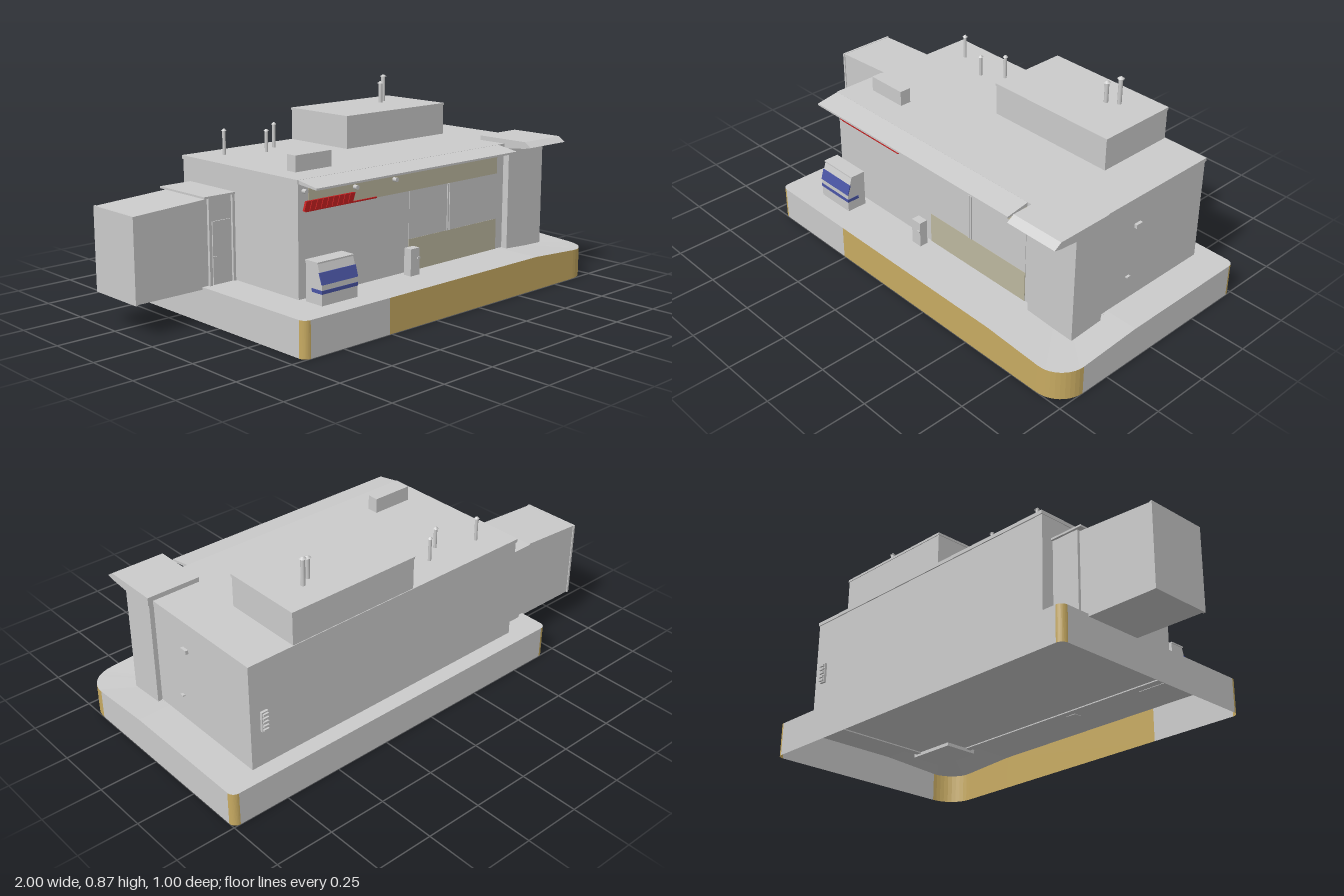
import * as THREE from 'three';

const mat = (color) => new THREE.MeshStandardMaterial({ color, side: THREE.DoubleSide });
const GREY = mat(0xcccccc), TAN = mat(0xc8ab62), PALE = mat(0xbdb8a0), RED = mat(0xc42020), BLUE = mat(0x4a55a5);

export function createModel() {
  const model = new THREE.Group();

  const add = (name, geometry, material = GREY, parent = model) => {
    const mesh = new THREE.Mesh(geometry, material);
    mesh.name = name;
    parent.add(mesh);
    return mesh;
  };
  // Box given by its limits on each axis
  const box = (name, x0, x1, y0, y1, z0, z1, material = GREY) => {
    const g = new THREE.BoxGeometry(x1 - x0, y1 - y0, z1 - z0);
    g.translate((x0 + x1) / 2, (y0 + y1) / 2, (z0 + z1) / 2);
    return add(name, g, material);
  };
  // Side profile of [z, y] points, swept from x0 to x1
  const sweepX = (name, profile, x0, x1, material = GREY) => {
    const shape = new THREE.Shape(profile.map(([z, y]) => new THREE.Vector2(-z, y)));
    const g = new THREE.ExtrudeGeometry(shape, { depth: x1 - x0, bevelEnabled: false });
    g.rotateY(Math.PI / 2).translate(x0, 0, 0);
    return add(name, g, material);
  };
  // Front profile of [x, y] points, swept from z0 to z1
  const sweepZ = (name, profile, z0, z1, material = GREY) => {
    const shape = new THREE.Shape(profile.map(([x, y]) => new THREE.Vector2(x, y)));
    const g = new THREE.ExtrudeGeometry(shape, { depth: z1 - z0, bevelEnabled: false });
    return add(name, g.translate(0, 0, z0), material);
  };
  const fromTriangles = (positions) => {
    const g = new THREE.BufferGeometry();
    g.setAttribute('position', new THREE.Float32BufferAttribute(positions, 3));
    g.computeVertexNormals();
    return g;
  };

  // Pad: open-bottomed shell with rounded corners, dipping at the front left corner
  const clamp = (v) => THREE.MathUtils.clamp(v, 0, 1);
  const padTop = (x, z) => 0.145 - 0.018 * clamp((x - 0.62) / 0.3) * clamp((z - 0.1) / 0.3);
  const outline = [];
  const corner = (cx, cz, r, quarter) => {
    for (let i = 0; i <= 10; i++) {
      const a = (quarter + i / 10) * Math.PI / 2;
      outline.push({ x: cx + r * Math.cos(a), z: cz + r * Math.sin(a), round: i < 10 });
    }
  };
  outline.push({ x: 1, z: 0.1 });
  corner(0.88, 0.38, 0.12, 0);
  outline.push({ x: 0.62, z: 0.5, front: true }, { x: -0.26, z: 0.5 });
  corner(-0.66, 0.47, 0.03, 1);
  corner(-0.66, -0.47, 0.03, 2);
  corner(0.97, -0.47, 0.03, 3);
  outline[11].front = true;
  const top = [], plain = [], tan = [];
  outline.forEach((a, i) => {
    const b = outline[(i + 1) % outline.length];
    const ya = padTop(a.x, a.z), yb = padTop(b.x, b.z);
    top.push(0.62, 0.145, 0.1, b.x, yb, b.z, a.x, ya, a.z);
    (a.round || a.front ? tan : plain).push(
      a.x, 0, a.z, a.x, ya, a.z, b.x, 0, b.z,
      b.x, 0, b.z, a.x, ya, a.z, b.x, yb, b.z);
  });
  add('padTop', fromTriangles(top));
  add('padSide', fromTriangles(plain));
  add('padColouredSide', fromTriangles(tan), TAN);

  // Wall footings seen under the pad
  box('footing', -0.53, 0.86, 0.135, 0.144, 0.26, 0.29);
  box('footing', -0.53, 0.86, 0.135, 0.144, -0.43, -0.40);
  box('footing', -0.53, -0.50, 0.135, 0.144, -0.40, 0.26);
  box('footing', 0.83, 0.86, 0.135, 0.144, -0.40, 0.26);

  // Main hall and roof
  box('hall', -0.53, 0.855, 0.14, 0.59, -0.43, 0.285);
  box('roof', -0.533, 0.858, 0.59, 0.605, -0.435, 0.288);
  sweepX('canopy', [[0.285, 0.605], [0.39, 0.588], [0.39, 0.58], [0.285, 0.59]], -0.53, 0.605);

  // Entrance tower with its wedge-shaped cap
  box('entranceTower', 0.645, 0.875, 0.125, 0.6, 0.155, 0.315);
  sweepX('towerCap', [[0.152, 0.59], [0.152, 0.625], [0.40, 0.625], [0.432, 0.603], [0.40, 0.596], [0.315, 0.588]], 0.645, 0.88);

  // Front wall panels and window
  box('upperPanel', -0.48, 0.6, 0.48, 0.585, 0.285, 0.288, PALE);
  box('lowerPanel', 0.06, 0.6, 0.145, 0.28, 0.285, 0.288, PALE);
  box('window', 0.06, 0.6, 0.28, 0.48, 0.285, 0.287);
  for (const x of [0.285, 0.298]) box('windowBar', x, x + 0.006, 0.28, 0.48, 0.285, 0.291);

  // Red slatted panel
  for (let i = 0; i < 9; i++) {
    const x = -0.51 + i * 0.028;
    sweepZ('redSlat', [[x, 0.485], [x + 0.025, 0.485], [x + 0.037, 0.521], [x + 0.012, 0.521]], 0.288, 0.298, RED);
  }
  box('redRail', -0.5, -0.13, 0.48, 0.485, 0.288, 0.295, RED);

  // Wall lamps
  for (const [x, y] of [[-0.505, 0.56], [-0.245, 0.54], [-0.03, 0.54]]) {
    const g = new THREE.CylinderGeometry(0.009, 0.009, 0.02, 12).rotateX(Math.PI / 2);
    add('wallLamp', g).position.set(x, y, 0.297);
  }

  // Chest cabinet by the front wall
  sweepX('cabinet', [[0.315, 0.143], [0.405, 0.143], [0.405, 0.225], [0.38, 0.305], [0.315, 0.305]], -0.52, -0.34);
  sweepX('cabinetWindow', [[0.404, 0.225], [0.407, 0.225], [0.394, 0.27], [0.388, 0.27]], -0.522, -0.338, BLUE);
  box('cabinetStripe', -0.522, -0.338, 0.19, 0.204, 0.35, 0.407, BLUE);
  box('cabinetLid', -0.523, -0.337, 0.302, 0.308, 0.315, 0.384);

  // Small bin
  box('bin', 0.01, 0.06, 0.143, 0.257, 0.31, 0.347);
  box('binHandle', 0.045, 0.06, 0.212, 0.22, 0.347, 0.352);

  // Roof boxes
  box('plantRoom', 0.058, 0.652, 0.6, 0.735, -0.432, -0.078);
  box('plantRoomRoof', 0.055, 0.655, 0.735, 0.745, -0.435, -0.075);
  box('roofUnit', -0.44, -0.255, 0.6, 0.67, 0.118, 0.168);

  // Chimneys with conical caps
  const pipes = [[-0.4, -0.325, 0.6, 0.712, 0.007], [-0.23, -0.26, 0.6, 0.7, 0.007], [-0.14, -0.32, 0.6, 0.712, 0.007],
    [0.505, -0.315, 0.74, 0.865, 0.009], [0.46, -0.287, 0.74, 0.84, 0.009]];
  for (const [x, z, y0, y1, r] of pipes) {
    const h = y1 - y0 - 0.008;
    add('chimney', new THREE.CylinderGeometry(r, r, h, 14)).position.set(x, y0 + h / 2, z);
    add('chimneyCap', new THREE.CylinderGeometry(0.004, r * 1.6, 0.008, 14)).position.set(x, y1 - 0.004, z);
  }

  // Side annex: link room and sloping-topped bay
  box('linkRoom', -0.655, -0.53, 0.143, 0.495, -0.375, -0.1);
  box('linkRoof', -0.68, -0.53, 0.495, 0.503, -0.385, -0.09);
  for (const x of [-0.66, -0.545]) box('linkPost', x, x + 0.012, 0.145, 0.495, -0.102, -0.09);
  box('linkDoor', -0.64, -0.55, 0.145, 0.4, -0.1, -0.095);
  box('linkDoorHandle', -0.645, -0.625, 0.255, 0.26, -0.095, -0.09);
  sweepZ('bay', [[-0.99, 0.135], [-0.655, 0.135], [-0.655, 0.492], [-0.99, 0.474]], -0.363, -0.102);
  box('bayEndPanel', -1, -0.99, 0.133, 0.475, -0.367, -0.098);

  // Fittings on the side and back walls
  box('sideLamp', 0.855, 0.868, 0.47, 0.487, -0.06, -0.027);
  box('sideDoorHandle', 0.855, 0.866, 0.253, 0.258, -0.015, 0.003);
  box('ventFrame', 0.78, 0.81, 0.3, 0.388, -0.441, -0.43);
  for (let i = 0; i < 5; i++) {
    const y = 0.305 + i * 0.017;
    box('ventSlat', 0.783, 0.807, y, y + 0.009, -0.449, -0.44);
  }
  return model;
}
